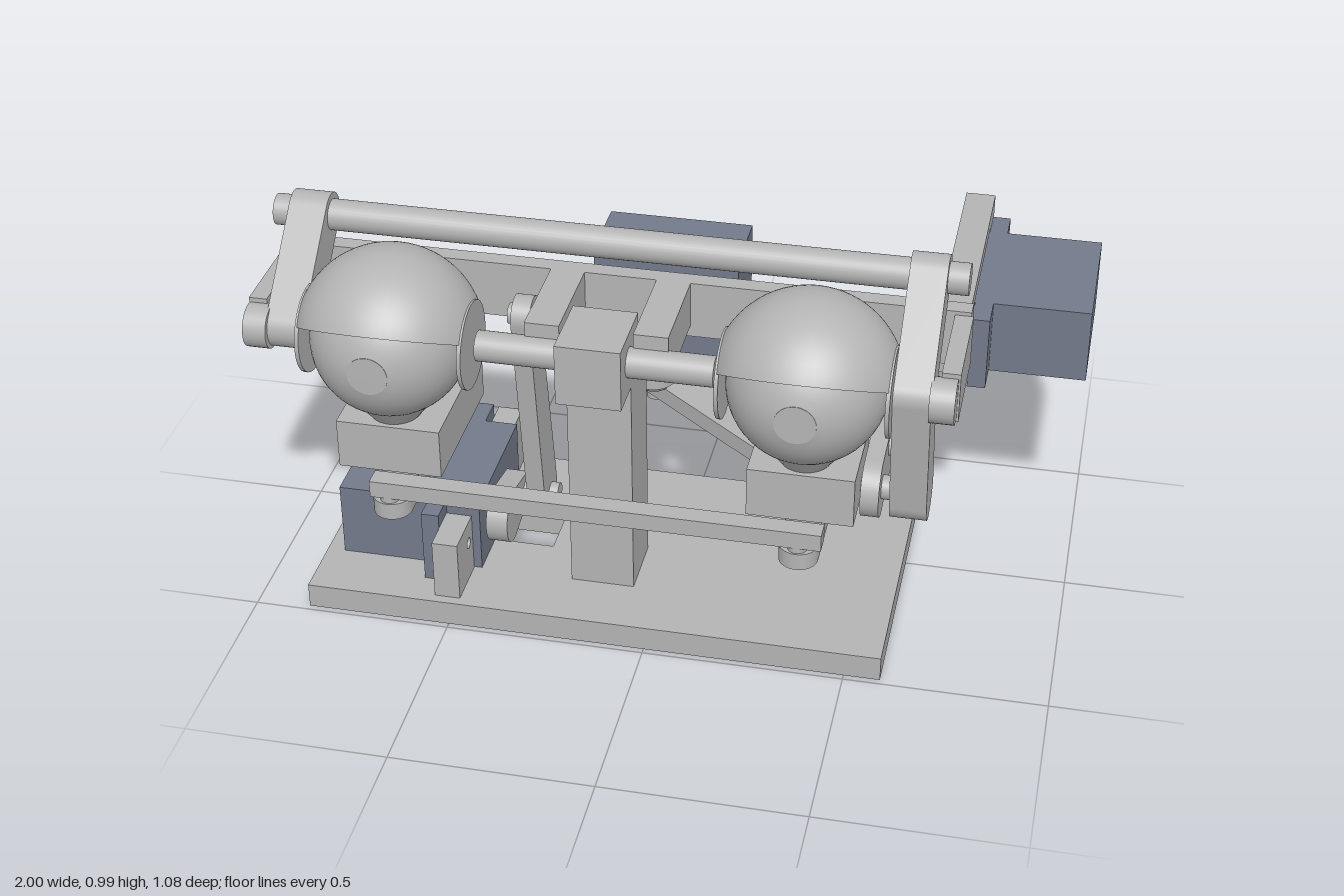
import * as THREE from 'three';

const grey = new THREE.MeshStandardMaterial({ color: 0xb4b4b4 });
grey.name = 'light grey plastic';
grey.side = THREE.DoubleSide;
const blue = new THREE.MeshStandardMaterial({ color: 0x737a8a });
blue.name = 'servo blue grey';

export function createModel() {
  const model = new THREE.Group();
  model.name = 'animatronicEyes';

  const add = (name, geo, mat = grey) => {
    const mesh = new THREE.Mesh(geo, mat);
    mesh.name = name;
    model.add(mesh);
    return mesh;
  };
  const box = (name, x0, x1, y0, y1, z0, z1, mat) => add(name,
    new THREE.BoxGeometry(x1 - x0, y1 - y0, z1 - z0)
      .translate((x0 + x1) / 2, (y0 + y1) / 2, (z0 + z1) / 2), mat);
  // cylinder along x
  const rodX = (name, x0, x1, y, z, r, mat) => add(name,
    new THREE.CylinderGeometry(r, r, x1 - x0, 32).rotateZ(Math.PI / 2)
      .translate((x0 + x1) / 2, y, z), mat);
  // cylinder along y
  const rodY = (name, x, z, y0, y1, r0, r1 = r0, mat = grey) => add(name,
    new THREE.CylinderGeometry(r1, r0, y1 - y0, 32).translate(x, (y0 + y1) / 2, z), mat);
  // outline around two circles
  const capsule = (ax, ay, ar, bx, by, br) => {
    const d = Math.atan2(by - ay, bx - ax);
    const t = Math.acos((ar - br) / Math.hypot(bx - ax, by - ay));
    const s = new THREE.Shape();
    s.absarc(ax, ay, ar, d + t, d - t + Math.PI * 2, false);
    s.absarc(bx, by, br, d - t, d + t, false);
    return s;
  };
  const rect = (x0, x1, y0, y1) => new THREE.Shape([[x0, y0], [x1, y0], [x1, y1], [x0, y1]]
    .map(p => new THREE.Vector2(...p)));
  const hole = (shape, x, y, r) => {
    shape.holes.push(new THREE.Path().absarc(x, y, r, 0, Math.PI * 2, true));
    return shape;
  };
  const extrude = (s, depth) => new THREE.ExtrudeGeometry(s, { depth, bevelEnabled: false, curveSegments: 20 });
  // plate drawn in (-z, y), thick along x
  const sidePlate = (name, s, x0, x1, mat) =>
    add(name, extrude(s, x1 - x0).rotateY(Math.PI / 2).translate(x0, 0, 0), mat);
  // plate drawn in (x, z), thick along y
  const flatPlate = (name, s, y0, y1, mat) =>
    add(name, extrude(s, y1 - y0).rotateX(Math.PI / 2).translate(0, y1, 0), mat);

  // base with a clearance hole under the pitch linkage
  const base = rect(-0.865, 0.59, -0.19, 0.485);
  base.holes.push(rect(-0.45, -0.3, 0.06, 0.2));
  flatPlate('base', base, 0, 0.065);

  // centre post and its pivot head
  box('postFoot', -0.22, -0.06, 0.065, 0.265, 0.155, 0.325);
  box('post', -0.22, -0.06, 0.265, 0.7, 0.155, 0.325);
  box('postHead', -0.22, -0.06, 0.66, 0.82, 0.24, 0.43);
  rodX('pivotAxle', -0.43, 0.15, 0.745, 0.345, 0.038);

  // tilting frame: back bar, forward beams and end arms
  box('backBar', -1, 0.72, 0.67, 0.82, 0.035, 0.08);
  for (const x of [-0.315, -0.05]) {
    box('pivotBeam', x, x + 0.085, 0.7, 0.82, 0.08, 0.34);
  }
  for (const x of [-1, 0.68]) box('endArm', x, x + 0.045, 0.68, 0.81, 0.08, 0.345);
  rodX('leftStubAxle', 0.66, 0.72, 0.745, 0.36, 0.055);
  rodX('rightStubAxle', -0.998, -0.94, 0.745, 0.36, 0.055);

  // eyes with lids, sockets and steering arms
  const eyeY = 0.745, eyeZ = 0.345;
  for (const x of [-0.647, 0.37]) {
    const ball = [];
    const a0 = Math.asin(0.05 / 0.194);
    for (let i = 0; i <= 28; i++) {
      const a = Math.PI - (Math.PI - a0) * i / 28;
      ball.push(new THREE.Vector2(Math.max(0, 0.194 * Math.sin(a)), 0.194 * Math.cos(a)));
    }
    add('eyeball', new THREE.LatheGeometry(ball, 48).rotateX(Math.PI / 2).translate(x, eyeY, eyeZ));
    add('iris', new THREE.CylinderGeometry(0.05, 0.05, 0.005, 32).rotateX(Math.PI / 2)
      .translate(x, eyeY, eyeZ + 0.186));

    // lid: sphere sector turned about the x axis, cut flat at both sides
    const R = 0.228, h = 0.2, e = Math.acos(h / R);
    const lid = [];
    for (let i = 0; i <= 24; i++) {
      const a = Math.PI - e - (Math.PI - 2 * e) * i / 24;
      lid.push(new THREE.Vector2(R * Math.sin(a), R * Math.cos(a)));
    }
    const from = Math.PI * 30 / 180, to = Math.PI * 200 / 180;
    add('eyelid', new THREE.LatheGeometry(lid, 40, -to, to - from)
      .rotateZ(-Math.PI / 2).translate(x, eyeY, eyeZ));
    const section = new THREE.Shape([new THREE.Vector2(0, -h), ...lid, new THREE.Vector2(0, h)]
      .map(p => new THREE.Vector2(p.y, p.x)));
    for (const a of [from, to]) {
      add('eyelidEdge', new THREE.ShapeGeometry(section).rotateX(Math.PI / 2 - a).translate(x, eyeY, eyeZ));
    }
    for (const s of [-1, 1]) {
      rodX('eyelidHub', x + s * h - 0.005, x + s * h + 0.005, eyeY, eyeZ, 0.11);
    }

    rodY('eyeNeck', x, eyeZ, 0.52, 0.58, 0.055, 0.1);
    box('eyeSocketBlock', x - 0.13, x + 0.13, 0.4, 0.53, 0.08, 0.42);
    box('eyeSocketBack', x - 0.13, x + 0.13, 0.4, 0.67, 0.035, 0.08);
    rodY('eyeShaft', x, eyeZ, 0.3, 0.42, 0.045);
    flatPlate('steeringArm', capsule(x, 0.415, 0.048, x, 0.218, 0.048), 0.285, 0.33);
    rodY('steeringPin', x, 0.435, 0.33, 0.39, 0.024);
  }
  box('steeringCrossbar', -0.69, 0.43, 0.345, 0.39, 0.41, 0.46);

  // lid arms, shared top rod and drive link
  for (const [x0, x1] of [[-0.945, -0.85], [0.575, 0.665]]) {
    sidePlate('lidArm', capsule(-eyeZ, eyeY, 0.055, -0.13, 0.94, 0.055), x0, x1);
  }
  rodX('lidRod', -0.99, 0.715, 0.94, 0.13, 0.039);
  sidePlate('lidDriveArm', capsule(-eyeZ, eyeY, 0.055, -0.283, 0.425, 0.065), 0.575, 0.665);
  sidePlate('lidLink', capsule(-0.283, 0.43, 0.075, 0.16, 0.475, 0.055), 0.505, 0.55);
  rodX('lidLinkPin', 0.5, 0.6, 0.43, 0.283, 0.03);
  rodX('lidHornPin', 0.5, 0.6, 0.475, 0.16, 0.03);
  sidePlate('lidHorn', capsule(0.16, 0.665, 0.07, 0.16, 0.475, 0.062), 0.57, 0.62);

  // lid servo on its hanging frame
  const frame = new THREE.Shape([[-0.025, 0.61], [0.05, 0.61], [0.05, 0.77], [0.44, 0.77],
    [0.44, 0.61], [0.54, 0.61], [0.54, 0.81], [-0.025, 0.81]].map(p => new THREE.Vector2(...p)));
  sidePlate('lidServoFrame', frame, 0.64, 0.715);
  box('lidServoMount', 0.64, 0.72, 0.67, 0.81, 0.02, 0.08);
  box('lidServoBody', 0.65, 1, 0.568, 0.76, -0.435, -0.075, blue);
  box('lidServoFlange', 0.715, 0.76, 0.568, 0.76, -0.515, 0.01, blue);
  rodX('lidServoShaft', 0.61, 0.66, 0.665, -0.16, 0.05, blue);

  // steering servo, standing shaft down behind the bar
  box('steeringServoBody', -0.23, 0.135, 0.475, 0.835, -0.21, -0.018, blue);
  box('steeringServoFlange', -0.31, 0.215, 0.555, 0.6, -0.21, -0.018, blue);
  box('steeringServoRest', 0.138, 0.26, 0.5, 0.555, -0.255, 0.08);
  box('steeringServoRest', -0.31, -0.233, 0.5, 0.555, -0.255, 0.08);
  const tab = hole(rect(-0.31, -0.225, 0.5, 0.68), -0.268, 0.64, 0.014);
  add('steeringServoTab', extrude(tab, 0.045).translate(0, 0, 0.035));
  box('steeringServoTab', 0.138, 0.26, 0.5, 0.68, 0.035, 0.08);
  rodY('steeringServoShaft', -0.1, -0.11, 0.395, 0.48, 0.04, 0.04, blue);
  flatPlate('steeringHorn', capsule(-0.1, -0.11, 0.055, -0.11, -0.195, 0.045), 0.41, 0.465);
  rodY('steeringHornPin', -0.11, -0.18, 0.315, 0.42, 0.024);
  flatPlate('steeringLink', capsule(-0.11, -0.195, 0.05, 0.37, 0.19, 0.05), 0.345, 0.39);
  rodY('steeringLinkPin', 0.37, 0.19, 0.32, 0.39, 0.024);

  // pitch servo on the base
  box('pitchServoBody', -0.82, -0.455, 0.065, 0.262, -0.045, 0.325, blue);
  box('pitchServoFlange', -0.585, -0.54, 0.065, 0.262, -0.125, 0.395, blue);
  sidePlate('pitchServoFrontBracket', hole(rect(-0.46, -0.328, 0.065, 0.225), -0.362, 0.165, 0.014), -0.54, -0.475);
  sidePlate('pitchServoBackBracket', hole(rect(0.048, 0.172, 0.065, 0.225), 0.09, 0.165, 0.014), -0.54, -0.475);
  rodX('pitchServoShaft', -0.46, -0.43, 0.165, 0.22, 0.04, blue);
  sidePlate('pitchHorn', capsule(-0.22, 0.165, 0.07, -0.1, 0.165, 0.045), -0.45, -0.395);

  // push rod from the horn up to the frame lever
  rodX('pitchPin', -0.42, -0.305, 0.165, 0.1, 0.026);
  sidePlate('pitchPushRod', capsule(-0.1, 0.165, 0.06, -0.2, 0.755, 0.05), -0.375, -0.328);
  rodX('pitchUpperPin', -0.39, -0.31, 0.755, 0.2, 0.026);

  return model;
}
